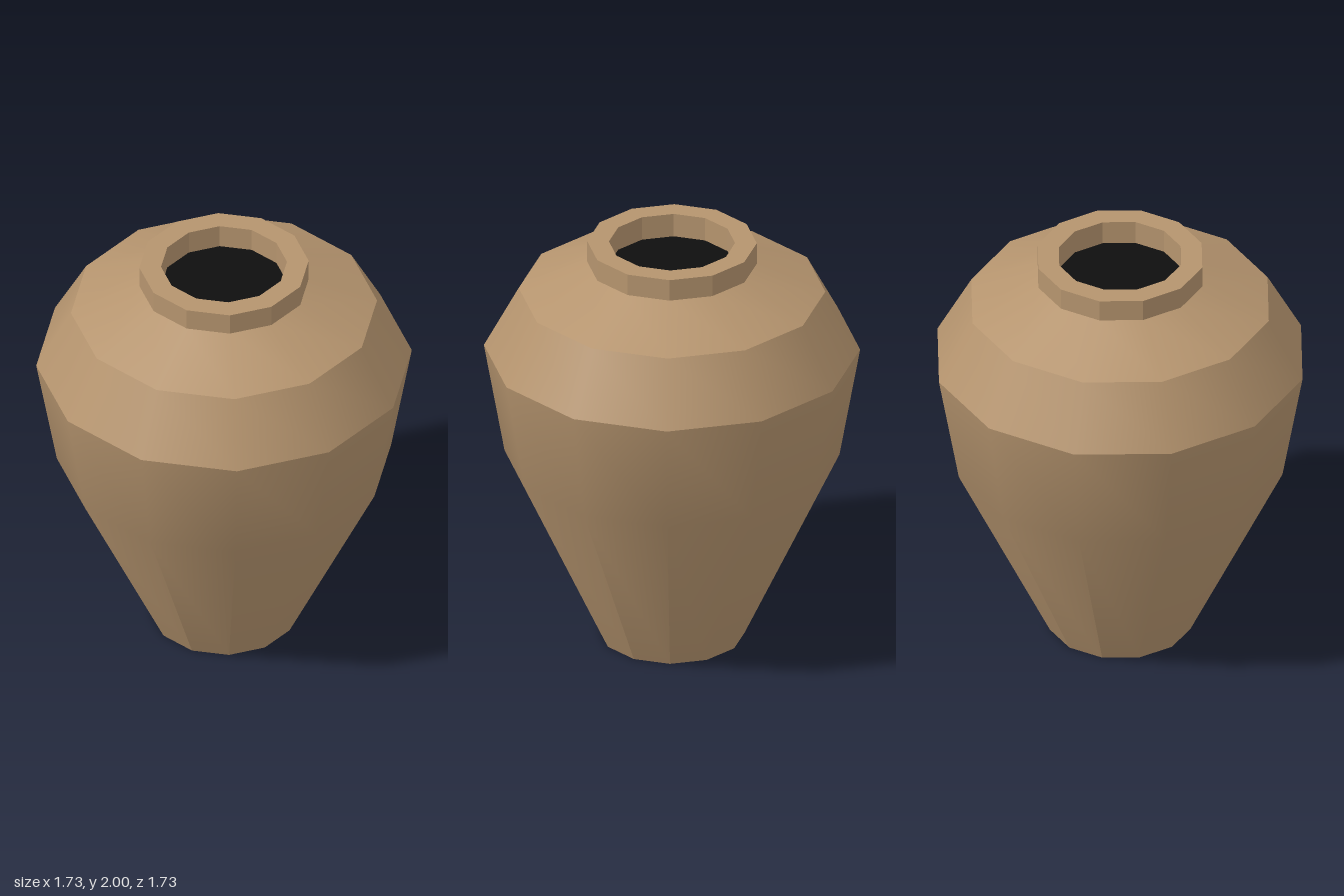
import * as THREE from 'three';

const SIDES = 12;

const clay = new THREE.MeshStandardMaterial({ color: 0xb5946e });
clay.name = 'clay';
const dark = new THREE.MeshStandardMaterial({ color: 0x0e0e0e });
dark.name = 'dark interior';

// Twelve-sided turned band, smooth around
function band(profile) {
  return new THREE.LatheGeometry(profile.map(([r, y]) => new THREE.Vector2(r, y)), SIDES);
}

// The same band with one normal per face
function facet(geometry) {
  const flat = geometry.toNonIndexed();
  flat.computeVertexNormals();
  return flat;
}

// Belly: smooth at the top, fading to crisp facets at the foot
function bellyGeometry() {
  const belly = band([[0.335, 0], [0.77, 0.92], [0.865, 1.46]]).toNonIndexed();
  const faceNormals = facet(band([[0.335, 0], [0.77, 0.92], [0.865, 1.46]])).attributes.normal;
  const { position, normal } = belly.attributes;
  for (let i = 0; i < position.count; i++) {
    if (position.getY(i) < 0.01) {
      normal.setXYZ(i, faceNormals.getX(i), faceNormals.getY(i), faceNormals.getZ(i));
    }
  }
  return belly;
}

export function createModel() {
  const jar = new THREE.Group();
  jar.name = 'jar';

  const add = (name, geometry, material = clay) => {
    const mesh = new THREE.Mesh(geometry, material);
    mesh.name = name;
    jar.add(mesh);
    return mesh;
  };

  add('belly', bellyGeometry());
  add('upperBelly', band([[0.865, 1.46], [0.705, 1.755]]));
  add('shoulder', band([[0.705, 1.755], [0.39, 1.895]]));

  // Neck: outer wall, flat rim and inner wall
  add('neck', facet(band([[0.39, 1.895], [0.39, 2], [0.29, 2], [0.29, 1.885]])));

  // Closed foot and the dark mouth
  const foot = add('foot', new THREE.CircleGeometry(0.335, SIDES));
  foot.rotation.x = Math.PI / 2;
  const mouth = add('mouth', new THREE.CircleGeometry(0.29, SIDES), dark);
  mouth.rotation.x = -Math.PI / 2;
  mouth.position.y = 1.885;

  return jar;
}
